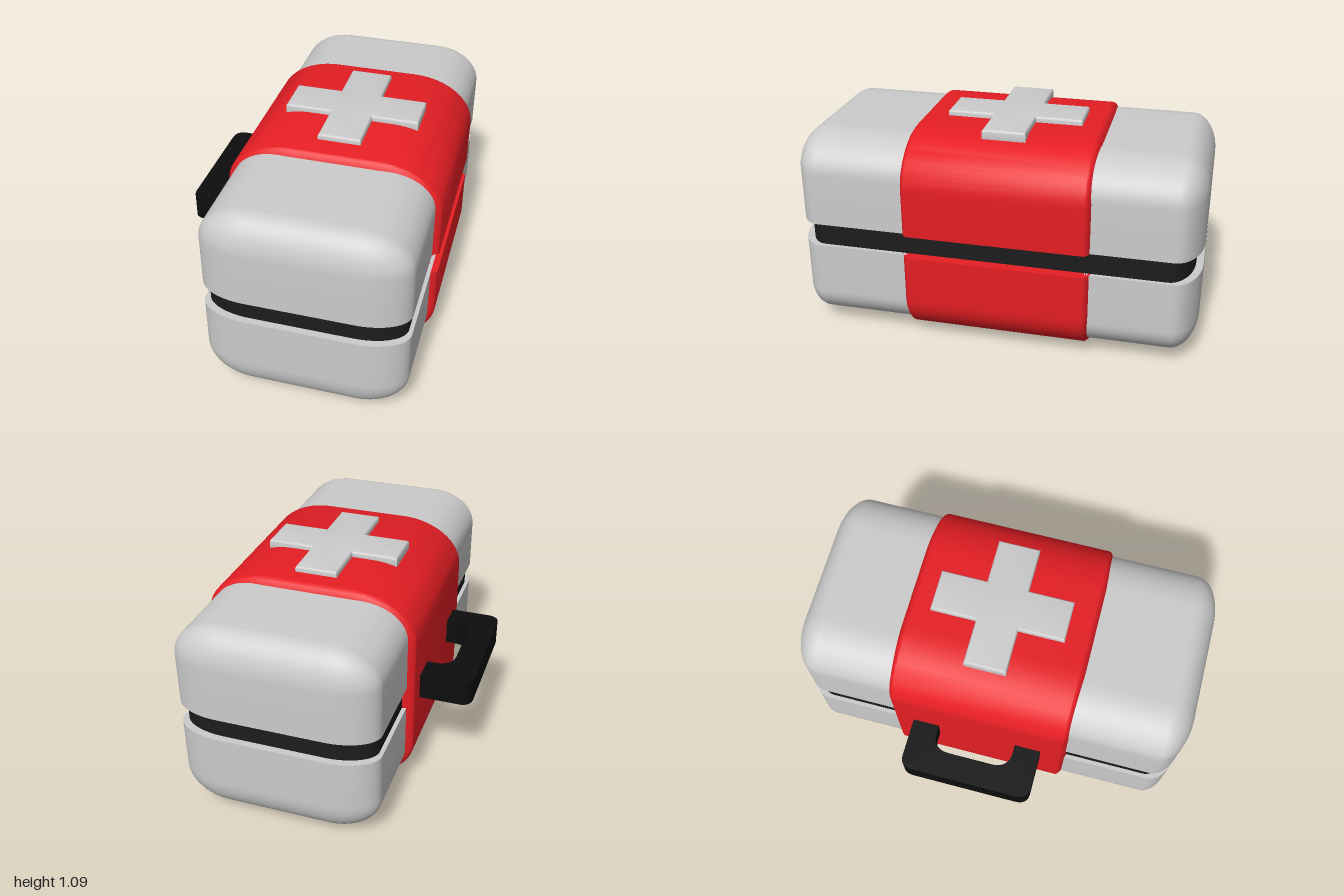
import * as THREE from 'three';
import { toCreasedNormals } from 'three/addons/utils/BufferGeometryUtils.js';

const grey = new THREE.MeshStandardMaterial({ color: 0xcccccc });
const red = new THREE.MeshStandardMaterial({ color: 0xe61e24 });
const black = new THREE.MeshStandardMaterial({ color: 0x1c1c1c });
const darkBlack = new THREE.MeshStandardMaterial({ color: 0x0d0d0d });

// Box between lo and hi with elliptical corner radii r; flatBottom / flatTop leave
// that end as a straight cut instead of rounding it.
function softBlock(lo, hi, r, { flatBottom = false, flatTop = false } = {}) {
  const n = 8, segs = 2 * n + 1;
  const geo = new THREE.BoxGeometry(1, 1, 1, segs, segs, segs);
  const pos = geo.attributes.position;
  const radLo = [r[0], flatBottom ? 0 : r[1], r[2]];
  const radHi = [r[0], flatTop ? 0 : r[1], r[2]];
  for (let v = 0; v < pos.count; v++) {
    const core = [], d = [], rad = [];
    for (let a = 0; a < 3; a++) {
      const k = Math.round((pos.getComponent(v, a) + 0.5) * segs);
      const low = k <= n;
      const step = low ? n - k : k - n - 1; // 0 at the core, n at the surface
      const R = low ? radLo[a] : radHi[a];
      const end = low ? lo[a] + R : hi[a] - R;
      const sign = low ? -1 : 1;
      if (R > 0) {
        core[a] = end;
        d[a] = sign * Math.tan((step / n) * Math.PI / 4);
      } else {
        const inner = low ? hi[a] - radHi[a] : lo[a] + radLo[a];
        core[a] = end + (inner - end) * (1 - step / n) * 0.45;
        d[a] = 0;
      }
      rad[a] = R;
    }
    // pull the cubic corner onto an ellipsoid
    const len = Math.hypot(...d);
    const s = len > 0 ? Math.max(...d.map(Math.abs)) / len : 0;
    pos.setXYZ(v, ...core.map((c, a) => c + d[a] * s * rad[a]));
  }
  return toCreasedNormals(geo, 0.7);
}

function createModel() {
  const group = new THREE.Group();
  const add = (name, geo, mat) => {
    const mesh = new THREE.Mesh(geo, mat);
    mesh.name = name;
    group.add(mesh);
    return mesh;
  };
  const seamLow = 0.475, seamHigh = 0.59;

  // Grey case halves
  const caseR = [0.24, 0.18, 0.13];
  add('caseLid', softBlock([-0.37, seamHigh, -1], [0.625, 1.032, 1], caseR, { flatBottom: true }), grey);
  add('caseBase', softBlock([-0.37, 0.037, -1], [0.625, seamLow, 1], caseR, { flatTop: true }), grey);

  // Black band recessed in the seam
  add('seamBand', softBlock([-0.35, seamLow - 0.01, -0.965], [0.605, seamHigh + 0.01, 0.965],
    [0.23, 0, 0.12], { flatBottom: true, flatTop: true }), black);

  // Red sleeve: two halves, joined across the seam on the handle side only
  const sleeveR = [0.32, 0.24, 0.065], z0 = -0.52, z1 = 0.465;
  add('sleeveUpper', softBlock([-0.405, seamHigh, z0], [0.657, 1.066, z1], sleeveR, { flatBottom: true }), red);
  add('sleeveLower', softBlock([-0.405, 0, z0], [0.657, seamLow, z1], sleeveR, { flatTop: true }), red);
  add('sleeveHinge', softBlock([-0.405, seamLow, z0], [0.585, seamHigh, z1], sleeveR,
    { flatBottom: true, flatTop: true }), red);

  // Raised cross on the lid
  const w = 0.095, l = 0.325;
  const plus = [[w, l], [w, w], [l, w], [l, -w], [w, -w], [w, -l],
    [-w, -l], [-w, -w], [-l, -w], [-l, w], [-w, w], [-w, l]];
  const crossGeo = new THREE.ExtrudeGeometry(
    new THREE.Shape(plus.map(([x, y]) => new THREE.Vector2(x, y))),
    { depth: 0.05, bevelSize: 0.01, bevelThickness: 0.01, bevelSegments: 3 });
  crossGeo.rotateX(-Math.PI / 2);
  add('cross', toCreasedNormals(crossGeo, 0.6), grey).position.set(0.125, 1.034, -0.035);

  // U-shaped carry handle; shape x is outward, shape y runs along the case
  const u = new THREE.Shape();
  u.moveTo(-0.03, -0.338);
  u.lineTo(0.2, -0.338);
  u.quadraticCurveTo(0.26, -0.338, 0.26, -0.27);
  u.lineTo(0.26, 0.27);
  u.quadraticCurveTo(0.26, 0.338, 0.2, 0.338);
  u.lineTo(-0.03, 0.338);
  u.lineTo(-0.03, 0.203);
  u.lineTo(0.04, 0.203);
  u.quadraticCurveTo(0.13, 0.203, 0.13, 0.11);
  u.lineTo(0.13, -0.11);
  u.quadraticCurveTo(0.13, -0.203, 0.04, -0.203);
  u.lineTo(-0.03, -0.203);
  const handleGeo = new THREE.ExtrudeGeometry(u, { depth: 0.127, bevelEnabled: false, curveSegments: 10 });
  handleGeo.rotateX(-Math.PI / 2);
  handleGeo.rotateY(Math.PI);
  add('handle', toCreasedNormals(handleGeo, 0.6), darkBlack).position.set(-0.403, 0.47, -0.033);

  return group;
}

export { createModel };
